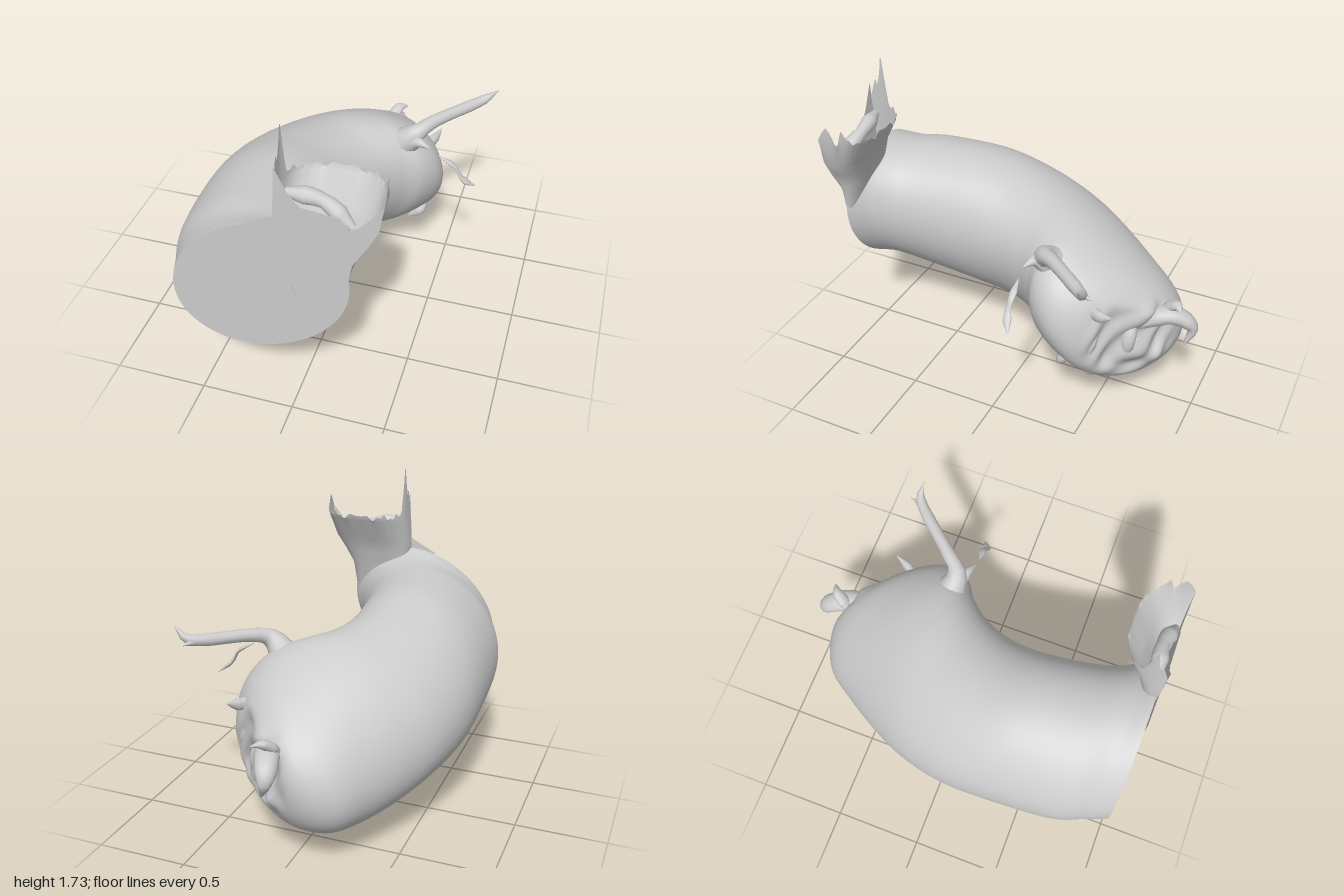
import * as THREE from 'three';

const material = new THREE.MeshStandardMaterial({ color: 0xcccccc });
const thinMaterial = new THREE.MeshStandardMaterial({ color: 0xcccccc, side: THREE.DoubleSide });
const v = (x, y, z) => new THREE.Vector3(x, y, z);
const curve = (pts) => new THREE.CatmullRomCurve3(pts.map((p) => v(...p)), false, 'catmullrom', 0.5);

// Skin a list of equal-length rows of points
function loft(rows, closed) {
  const n = rows[0].length;
  const index = [];
  for (let i = 0; i < rows.length - 1; i++) {
    for (let j = 0; j < (closed ? n : n - 1); j++) {
      const k = (j + 1) % n;
      const a = i * n + j, b = i * n + k, c = a + n, d = b + n;
      index.push(a, c, b, b, c, d);
    }
  }
  const geo = new THREE.BufferGeometry().setFromPoints(rows.flat());
  geo.setIndex(index);
  geo.computeVertexNormals();
  return geo;
}

function part(group, name, geo, mat = material) {
  const mesh = new THREE.Mesh(geo, mat);
  mesh.name = name;
  group.add(mesh);
  return mesh;
}

// Tube whose radius follows a list of values; flat squashes its section
function taperTube(pts, radii, flat = 1) {
  const path = curve(pts), steps = 24, sides = 12;
  const { normals, binormals } = path.computeFrenetFrames(steps);
  const rows = [];
  for (let i = 0; i <= steps; i++) {
    const u = i / steps, f = u * (radii.length - 1), k = Math.min(Math.floor(f), radii.length - 2);
    const r = THREE.MathUtils.lerp(radii[k], radii[k + 1], f - k);
    const p = path.getPointAt(u);
    rows.push(Array.from({ length: sides }, (_, j) => {
      const a = (-j / sides) * Math.PI * 2;
      return p.clone().addScaledVector(normals[i], r * Math.cos(a)).addScaledVector(binormals[i], r * flat * Math.sin(a));
    }));
  }
  return loft(rows, true);
}

// Body sections: outer x z, inner x z, top y, bottom y, lean
const SECTIONS = [
  [-0.6, 0.99, 0.31, 0.99, 1.22, 0.41, 0.25],
  [-0.64, 0.88, 0.22, 0.88, 1.18, 0.39, 0.22],
  [-0.7, 0.7, 0.15, 0.72, 1.17, 0.33, 0.18],
  [-0.72, 0.35, 0.11, 0.4, 1.155, 0.27, 0.15],
  [-0.71, 0.05, 0.13, 0.17, 1.1, 0.25, 0.18],
  [-0.64, -0.22, 0.2, 0, 1.06, 0.22, 0.24],
  [-0.53, -0.44, 0.3, -0.12, 1.04, 0.17, 0.3],
  [-0.4, -0.65, 0.4, -0.19, 1.0, 0.14, 0.35],
  [-0.29, -0.8, 0.465, -0.3, 0.92, 0.15, 0.35],
  [-0.15, -0.87, 0.465, -0.42, 0.83, 0.2, 0.25],
  [-0.02, -0.87, 0.4, -0.54, 0.73, 0.3, 0.1],
  [0.08, -0.8, 0.3, -0.62, 0.64, 0.4, 0],
  [0.175, -0.7, 0.185, -0.69, 0.53, 0.52, 0],
];

function bodyRows() {
  const outer = curve(SECTIONS.map((s) => [s[0], 0, s[1]]));
  const inner = curve(SECTIONS.map((s) => [s[2], 0, s[3]]));
  const height = curve(SECTIONS.map((s) => [s[4], s[5], s[6]]));
  const rows = [], steps = 150, sides = 96;
  for (let i = 0; i <= steps; i++) {
    const t = i / steps;
    const o = outer.getPoint(t), n = inner.getPoint(t), h = height.getPoint(t);
    const mid = o.clone().add(n).multiplyScalar(0.5), half = n.clone().sub(o).multiplyScalar(0.5);
    const rough = THREE.MathUtils.smoothstep(t, 0.76, 0.9);
    rows.push(Array.from({ length: sides }, (_, j) => {
      const a = (j / sides) * Math.PI * 2;
      const across = Math.sqrt(1 - h.z * h.z) * Math.cos(a) + h.z * Math.sin(a);
      const p = mid.clone().addScaledVector(half, across);
      p.y = (h.x + h.y) / 2 + ((h.x - h.y) / 2) * Math.sin(a);
      // Swelling that runs into the nub beneath
      if (p.y < 0.45) p.y -= 0.085 * Math.exp(-Math.hypot(p.x + 0.17, p.z + 0.32) / 0.06);
      // Crumpled surface on the closed end, strongest towards the inner side
      const side = THREE.MathUtils.smoothstep(p.x, -0.08, 0.12);
      const bump = rough * side * (0.022 * Math.sin(p.x * 19 - p.y * 14 + 2 * Math.sin(p.y * 11))
        + 0.014 * Math.sin(p.x * 37 + p.y * 29 + 1.5 * Math.sin(p.z * 23)));
      return p.add(v(bump * 0.6, 0, -bump * 0.8));
    }));
  }
  return rows;
}

// Open collar with a ragged rim, cut flat at the front
function collarGeometry() {
  const levels = [ // y, left, right, depth
    [0.8, 0.05, 0.27, 0.01], [0.95, 0, 0.305, 0.05], [1.1, -0.04, 0.325, 0.09],
    [1.2, -0.05, 0.38, 0.12], [1.28, -0.05, 0.43, 0.15], [1.42, -0.04, 0.465, 0.235],
  ];
  const sides = 96;
  const ring = ([y, l, r, d], rise) => Array.from({ length: sides + 1 }, (_, j) => {
    const u = j / sides, a = u * Math.PI, c = Math.cos(a);
    const x = (l + r) / 2 + ((r - l) / 2) * Math.sign(c) * Math.abs(c) ** 0.65;
    return v(x, y + (rise ? rise(u) : 0), 0.995 - d * Math.sin(a) ** 0.8);
  });
  const spike = (u, at, w, h) => h * Math.max(0, 1 - Math.abs(u - at) / w);
  const ragged = (u) => 0.005 + 0.012 * Math.sin(u * 41) + 0.008 * Math.sin(u * 97)
    + spike(u, 0.91, 0.05, 0.31) + spike(u, 0.97, 0.04, 0.14)
    + spike(u, 0.05, 0.05, 0.08) + spike(u, 0.16, 0.04, 0.07);
  return loft([...levels.map((l) => ring(l)), ring([1.44, -0.035, 0.47, 0.245], ragged)], false);
}

export function createModel() {
  const model = new THREE.Group();

  // Curved body and its flat front
  const rows = bodyRows();
  part(model, 'body', loft(rows, true));
  part(model, 'frontFace', new THREE.ShapeGeometry(new THREE.Shape(rows[0].map((p) => new THREE.Vector2(p.x, p.y)))))
    .position.z = rows[0][0].z;

  // Collar and its flat front wall
  part(model, 'collar', collarGeometry(), thinMaterial);
  const wall = new THREE.Shape([
    [-0.2, 1.2], [-0.2, 0.9], [0.28, 0.86], [0.325, 1.08], [0.395, 1.2], [0.445, 1.3], [0.465, 1.44],
    [0.36, 1.31], [0.31, 1.28], [0.27, 1.34], [0.08, 1.36], [0.03, 1.42], [-0.035, 1.56], [-0.05, 1.28],
  ].map((p) => new THREE.Vector2(...p)));
  part(model, 'collarFrontWall', new THREE.ShapeGeometry(wall), thinMaterial).position.z = 0.996;
  part(model, 'collarFold', taperTube([[0, 1.4, 0.95], [0.17, 1.37, 0.93], [0.32, 1.28, 0.97]], [0.02, 0.045, 0.035, 0.045, 0.02]));

  // Pointed tip of the nub beneath
  const nub = [[0, 0], [0.01, 0.025], [0.024, 0.06], [0.04, 0.1], [0.05, 0.16]];
  part(model, 'bottomNub', new THREE.LatheGeometry(nub.map((p) => new THREE.Vector2(...p)), 24))
    .position.set(-0.17, 0, -0.32);

  // Forked branch and the loose sliver below it
  const branch = new THREE.Group();
  branch.name = 'branch';
  model.add(branch);
  part(branch, 'branchStem', taperTube(
    [[0.16, 0.8, -0.3], [0.27, 0.93, -0.24], [0.34, 1.0, -0.24], [0.42, 1.035, -0.33], [0.63, 1.06, -0.56], [0.72, 1.135, -0.58]],
    [0.12, 0.11, 0.07, 0.042, 0.036, 0.034, 0.034, 0.028, 0.002]));
  part(branch, 'branchFork', taperTube([[0.57, 1.045, -0.5], [0.62, 1.05, -0.56], [0.645, 1.05, -0.63]], [0.025, 0.022, 0.002]));
  part(branch, 'branchRoot', taperTube([[0.24, 0.86, -0.28], [0.34, 0.96, -0.2], [0.43, 0.96, -0.16]], [0.08, 0.05, 0.002]));
  part(model, 'looseSliver', taperTube([[0.48, 0.92, -0.16], [0.57, 0.865, -0.165], [0.62, 0.79, -0.165], [0.69, 0.73, -0.2]],
    [0.003, 0.02, 0.014, 0.025, 0.002], 0.5));

  // Torn folds on the closed end, all tapering by one rule
  const torn = new THREE.Group();
  torn.name = 'tornEnd';
  model.add(torn);
  const fold = (name, width, ...pts) =>
    part(torn, name, taperTube(pts, [0.7, 1, 0.8, 0.1].map((r) => r * width), 0.75));
  fold('hook', 0.07, [0.14, 0.56, -0.66], [0.08, 0.64, -0.84], [0.035, 0.57, -0.965], [0.07, 0.46, -0.94]);
  fold('upperFold', 0.05, [-0.02, 0.68, -0.7], [0.18, 0.73, -0.64], [0.36, 0.64, -0.53]);
  fold('middleFold', 0.045, [0.16, 0.66, -0.66], [0.23, 0.5, -0.675], [0.19, 0.34, -0.62]);
  fold('sideFold', 0.045, [0.32, 0.66, -0.53], [0.37, 0.5, -0.5], [0.3, 0.32, -0.47]);
  fold('lowerFlap', 0.045, [0.31, 0.46, -0.44], [0.35, 0.38, -0.36], [0.29, 0.32, -0.33]);
  fold('lowerFold', 0.04, [0.29, 0.4, -0.44], [0.28, 0.29, -0.49], [0.16, 0.25, -0.46]);
  fold('lowerShred', 0.035, [0.16, 0.32, -0.5], [0.22, 0.275, -0.55], [0.25, 0.25, -0.59]);
  fold('sideShred', 0.04, [0.3, 0.72, -0.45], [0.37, 0.74, -0.56], [0.4, 0.77, -0.64]);
  fold('hookShred', 0.04, [0.04, 0.64, -0.8], [0.08, 0.71, -0.88], [0.13, 0.71, -0.92]);
  fold('upperShred', 0.04, [0.04, 0.76, -0.56], [0.14, 0.81, -0.56], [0.24, 0.79, -0.55]);

  return model;
}
